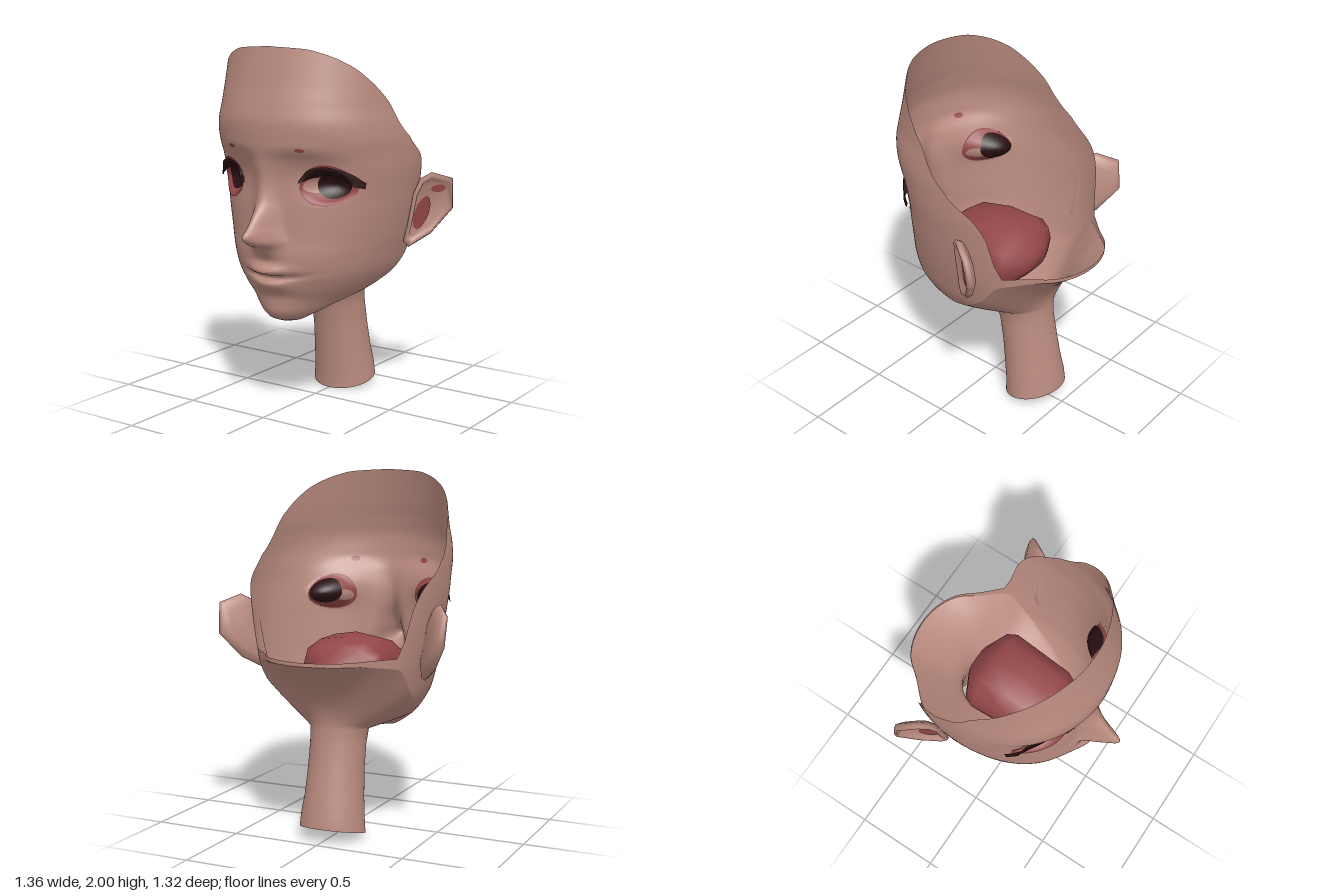
import * as THREE from 'three';

const mat = (name, color) => {
  const m = new THREE.MeshStandardMaterial({ color, side: THREE.DoubleSide });
  m.name = name;
  return m;
};
const V = (x, y, z) => new THREE.Vector3(x, y, z);
const gauss = (d, s) => Math.exp(-(d * d) / (2 * s * s));

// Smooth curve through [position, value] pairs
function curve(pts) {
  const n = pts.length;
  const slope = (i) => (pts[i + 1][1] - pts[i][1]) / (pts[i + 1][0] - pts[i][0]);
  const tan = pts.map((p, i) => {
    if (i === 0) return slope(0);
    if (i === n - 1) return slope(n - 2);
    const a = slope(i - 1), b = slope(i);
    return a * b <= 0 ? 0 : (2 * a * b) / (a + b);
  });
  return (x) => {
    if (x <= pts[0][0]) return pts[0][1];
    if (x >= pts[n - 1][0]) return pts[n - 1][1];
    let i = 0;
    while (x > pts[i + 1][0]) i++;
    const h = pts[i + 1][0] - pts[i][0], t = (x - pts[i][0]) / h, t2 = t * t, t3 = t2 * t;
    return (2 * t3 - 3 * t2 + 1) * pts[i][1] + (t3 - 2 * t2 + t) * h * tan[i]
      + (3 * t2 - 2 * t3) * pts[i + 1][1] + (t3 - t2) * h * tan[i + 1];
  };
}

// Skin a list of rings (arrays of Vector3)
function loft(rings, closed = true) {
  const n = rings[0].length, idx = [];
  for (let r = 0; r < rings.length - 1; r++) {
    for (let i = 0; i < (closed ? n : n - 1); i++) {
      const j = (i + 1) % n, a = r * n + i, b = r * n + j, c = b + n, d = a + n;
      idx.push(a, b, c, a, c, d);
    }
  }
  const g = new THREE.BufferGeometry().setFromPoints(rings.flat());
  g.setIndex(idx);
  g.computeVertexNormals();
  return g;
}

// Head measures by height: half width, front profile and squareness
const MID = -0.1, BACK = -0.66;
const width = curve([[0.505, 0.16], [0.53, 0.205], [0.57, 0.25], [0.62, 0.3], [0.7, 0.375], [0.8, 0.435], [0.9, 0.465],
  [1, 0.49], [1.2, 0.525], [1.4, 0.545], [1.5, 0.545], [1.6, 0.537], [1.7, 0.525], [1.85, 0.52], [2, 0.515]]);
const front = curve([[0.505, 0.31], [0.53, 0.37], [0.58, 0.4], [0.65, 0.405], [0.7, 0.425], [0.8, 0.455], [0.9, 0.465],
  [1, 0.455], [1.2, 0.452], [1.4, 0.475], [1.5, 0.505], [1.6, 0.52], [1.7, 0.503], [1.8, 0.477], [2, 0.432]]);
const square = curve([[1.2, 0.455], [1.4, 0.425], [1.55, 0.39], [1.75, 0.42], [2, 0.465]]);
const noseOut = curve([[0.87, 0], [0.91, 0.03], [0.945, 0.07], [0.975, 0.15], [1.02, 0.205], [1.06, 0.165],
  [1.1, 0.13], [1.2, 0.06], [1.3, 0.034], [1.4, 0.024], [1.48, 0.013], [1.58, 0]]);
const noseWide = curve([[0.9, 0.055], [0.98, 0.05], [1.02, 0.043], [1.1, 0.042], [1.3, 0.045], [1.4, 0.06], [1.5, 0.12]]);

// Depth of the face with nose, lips and hollow eyes
function faceZ(x, y) {
  const ax = Math.abs(x), w = width(y), smile = y - 0.4 * x * x;
  let z = MID + (front(y) - MID) * Math.max(0, 1 - (x / w) ** 2) ** square(y);
  z += noseOut(y) * gauss(x, noseWide(y));
  z += 0.018 * gauss(ax - 0.06, 0.025) * gauss(y - 0.99, 0.03);
  z -= 0.032 * gauss(ax - 0.26, 0.1) * gauss(y - 1.33, 0.07);
  z += 0.008 * gauss(ax - 0.24, 0.12) * gauss(y - 1.47 + 0.6 * (ax - 0.2) ** 2, 0.03);
  z += 0.045 * gauss(x, 0.08) * gauss(smile - 0.812, 0.022);
  z -= 0.05 * gauss(x, 0.105) * gauss(smile - 0.776, 0.009);
  z += 0.035 * gauss(x, 0.075) * gauss(y - 0.735, 0.025);
  const eye = Math.max(0, 1 - ((ax - 0.315) / 0.12) ** 2 - ((y - 1.275) / 0.09) ** 2);
  return z - 0.095 * eye;
}

// Jaw line and open rim, as heights by angle from the front
const jawY = curve([[0, 0.505], [30, 0.522], [45, 0.56], [60, 0.615], [90, 0.73], [105, 0.83], [119, 0.97], [150, 1], [180, 1]]);
const rimY = curve([[0, 2], [23, 1.988], [36, 1.96], [52, 1.9], [65, 1.82], [72, 1.766], [79, 1.7], [85, 1.6], [92, 1.5],
  [109, 1.38], [115, 1.27], [119.5, 1.03], [180, 1.02]]);

function headPoint(phi, y) {
  const x = width(y) * Math.sin(phi), c = Math.cos(phi);
  if (c > 0) return V(x, y, faceZ(x, y));
  return V(x * (1 - 0.12 * gauss(c + 0.72, 0.13)), y, MID + (MID - BACK) * c);
}

// Neck rings: front y, back y, middle z, half depth, half width
const NECK = [[0, 0.08, -0.305, 0.165, 0.185], [0.08, 0.15, -0.3, 0.162, 0.178], [0.2, 0.25, -0.28, 0.158, 0.165],
  [0.36, 0.38, -0.258, 0.155, 0.156], [0.5, 0.52, -0.232, 0.152, 0.155], [0.58, 0.62, -0.212, 0.168, 0.16]];

// Neck, jaw underside and face as one skin
function headGeometry() {
  const half = 80, under = 12, rows = 110, columns = [];
  for (let i = -half; i < half; i++) {
    const t = i / half, phi = Math.sign(t) * Math.PI * Math.abs(t) ** 1.4;
    const deg = Math.abs(phi) * 180 / Math.PI, s = Math.sin(phi), c = Math.cos(phi), k = (1 - c) / 2;
    const col = NECK.map(([yf, yb, z, d, w]) => V(w * s, yf + (yb - yf) * k, z + d * c));
    const top = col[col.length - 1], y0 = jawY(deg), y1 = rimY(deg), jaw = headPoint(phi, y0);
    const ctrl = top.clone().lerp(jaw, 0.3 * (1 - k) + 0.38 * s * s);
    ctrl.y = 0.61 + 0.19 * k - 0.1 * s * s * (1 - k);
    const bend = new THREE.QuadraticBezierCurve3(top, ctrl, jaw);
    for (let j = 1; j < under; j++) col.push(bend.getPoint(j / under));
    for (let j = 0; j <= rows; j++) col.push(headPoint(phi, y0 + (y1 - y0) * j / rows));
    columns.push(col);
  }
  return loft(columns[0].map((_, r) => columns.map((col) => col[r])));
}

// Rounded patch lying on the face
function patchGeometry(cx, cy, rx, up, down, off) {
  const rings = [];
  for (let r = 0; r <= 8; r++) {
    const f = r / 8, ring = [];
    for (let i = 0; i < 32; i++) {
      const a = i / 32 * Math.PI * 2, s = Math.sin(a);
      const x = cx + rx * f * Math.cos(a), y = cy + (s > 0 ? up : down) * f * s;
      ring.push(V(x, y, faceZ(x, y) + off));
    }
    rings.push(ring);
  }
  return loft(rings);
}

// Upper lash, sweeping out to the corner of the eye
function lashGeometry() {
  const hi = curve([[0.19, 1.315], [0.24, 1.37], [0.31, 1.385], [0.38, 1.37], [0.43, 1.345], [0.475, 1.295]]);
  const lo = curve([[0.19, 1.295], [0.24, 1.32], [0.31, 1.335], [0.38, 1.32], [0.43, 1.285], [0.475, 1.265]]);
  const rings = [];
  for (let r = 0; r <= 4; r++) {
    const ring = [];
    for (let i = 0; i <= 24; i++) {
      const t = i / 24, x = 0.19 + 0.285 * t, y = lo(x) + (hi(x) - lo(x)) * r / 4;
      ring.push(V(x, y, faceZ(x, y) + 0.012 + 0.022 * t ** 3 + 0.02 * (1 - r / 4)));
    }
    rings.push(ring);
  }
  return loft(rings, false);
}

// Point on the tilted ear plane: u outward, y up, n toward the front
const earPoint = (u, y, n) => V(0.53 - (1.3 - y) * 0.15 + 0.58 * u + 0.81 * n, y, -0.15 - 0.81 * u + 0.58 * n);

function earGeometry() {
  const outline = [[0.02, 1], [0.01, 0.925], [0.045, 0.89], [0.17, 0.96], [0.285, 1.1], [0.255, 1.27], [0.12, 1.31], [0.06, 1.28], [0.03, 1.2]];
  const cu = 0.13, cy = 1.11;
  const layers = [[0, -0.045], [0.65, -0.045], [0.93, -0.025], [1, 0], [0.92, 0.015], [0.8, 0.008], [0.72, -0.015], [0, -0.018]];
  return loft(layers.map(([s, n]) => outline.map(([u, y]) => earPoint(cu + (u - cu) * s, cy + (y - cy) * s, n))));
}

// Leaning oval inside the ear
function earPatch(cu, cy, ru, ry, lean) {
  return loft([0, 1].map((f) => Array.from({ length: 12 }, (_, i) => {
    const a = i / 12 * Math.PI * 2, dy = ry * f * Math.sin(a);
    return earPoint(cu + ru * f * Math.cos(a) + lean * dy, cy + dy, -0.009);
  })));
}

// Mouth lining: z, half width, bottom, top
function mouthGeometry() {
  const stations = [[0.42, 0, 0.77, 0.77], [0.41, 0.08, 0.74, 0.81], [0.35, 0.16, 0.7, 0.92], [0.2, 0.23, 0.68, 1.05], [0, 0.235, 0.69, 1.1],
    [-0.16, 0.25, 0.73, 1.09], [-0.22, 0.225, 0.77, 1.05], [-0.29, 0.09, 0.85, 0.97], [-0.3, 0, 0.91, 0.91]];
  const soft = (v) => Math.sign(v) * Math.abs(v) ** 0.8;
  return loft(stations.map(([z, w, lo, hi]) => Array.from({ length: 12 }, (_, i) => {
    const a = i / 12 * Math.PI * 2;
    return V(w * soft(Math.sin(a)), (lo + hi) / 2 + (hi - lo) / 2 * soft(Math.cos(a)), z);
  })));
}

export function createModel() {
  const skin = mat('skin', 0xb98a7e), red = mat('dark red', 0x934648), dark = mat('dark maroon', 0x280f12);
  const model = new THREE.Group();
  model.name = 'head';
  const add = (parent, name, geometry, material) => {
    const mesh = new THREE.Mesh(geometry, material);
    mesh.name = name;
    parent.add(mesh);
  };

  add(model, 'faceAndNeck', headGeometry(), skin);
  add(model, 'mouthLining', mouthGeometry(), red);

  // Eyes and ears, mirrored left and right
  for (const [side, sign] of [['left', 1], ['right', -1]]) {
    const g = new THREE.Group();
    g.name = side + 'EyeAndEar';
    g.scale.x = sign;
    add(g, 'eyeRim', patchGeometry(0.312, 1.27, 0.128, 0.125, 0.096, 0.005), red);
    add(g, 'eyeRimInside', patchGeometry(0.305, 1.27, 0.12, 0.115, 0.09, -0.005), red);
    add(g, 'eyeInnerCorner', patchGeometry(0.25, 1.275, 0.05, 0.045, 0.035, 0.009), skin);
    add(g, 'eyeInnerCornerInside', patchGeometry(0.235, 1.26, 0.035, 0.035, 0.03, -0.009), skin);
    add(g, 'iris', patchGeometry(0.324, 1.28, 0.08, 0.065, 0.07, 0.013), dark);
    add(g, 'irisInside', patchGeometry(0.325, 1.28, 0.085, 0.08, 0.06, -0.013), dark);
    add(g, 'lash', lashGeometry(), dark);
    add(g, 'browSpot', patchGeometry(0.22, 1.472, 0.025, 0.01, 0.01, 0.004), red);
    add(g, 'browSpotInside', patchGeometry(0.22, 1.472, 0.025, 0.015, 0.015, -0.004), red);
    add(g, 'ear', earGeometry(), skin);
    add(g, 'earHollow', earPatch(0.1, 1.08, 0.045, 0.095, 0.15), red);
    add(g, 'earFold', earPatch(0.18, 1.215, 0.045, 0.022, 0), red);
    model.add(g);
  }
  return model;
}
